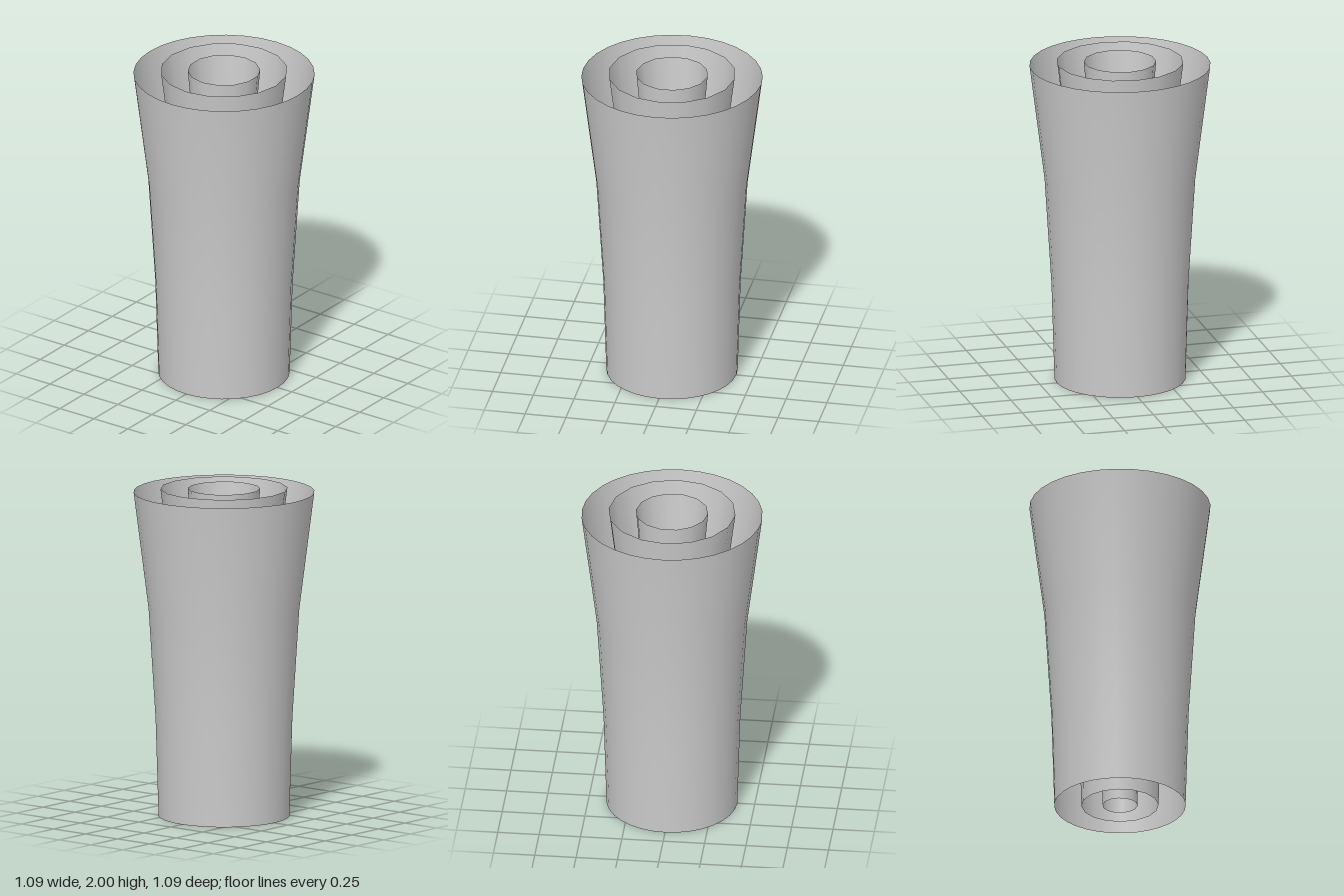
import * as THREE from 'three';

const material = new THREE.MeshStandardMaterial({ color: 0xcccccc, side: THREE.DoubleSide });

// Open flared sleeve: radii at four rising levels, turned around y
function sleeve(name, radii, top, sides) {
  const levels = [0, 0.6, 1.27, top];
  const profile = radii.map((r, i) => new THREE.Vector2(r, levels[i]));
  const mesh = new THREE.Mesh(new THREE.LatheGeometry(profile, sides), material);
  mesh.name = name;
  return mesh;
}

export function createModel() {
  const group = new THREE.Group();
  group.name = 'nestedFlaredSleeves';
  group.add(
    sleeve('outerSleeve', [0.395, 0.413, 0.455, 0.545], 1.98, 32),
    sleeve('middleSleeve', [0.232, 0.25, 0.292, 0.383], 2, 16),
    sleeve('innerSleeve', [0.105, 0.12, 0.155, 0.218], 2, 14),
  );
  return group;
}
